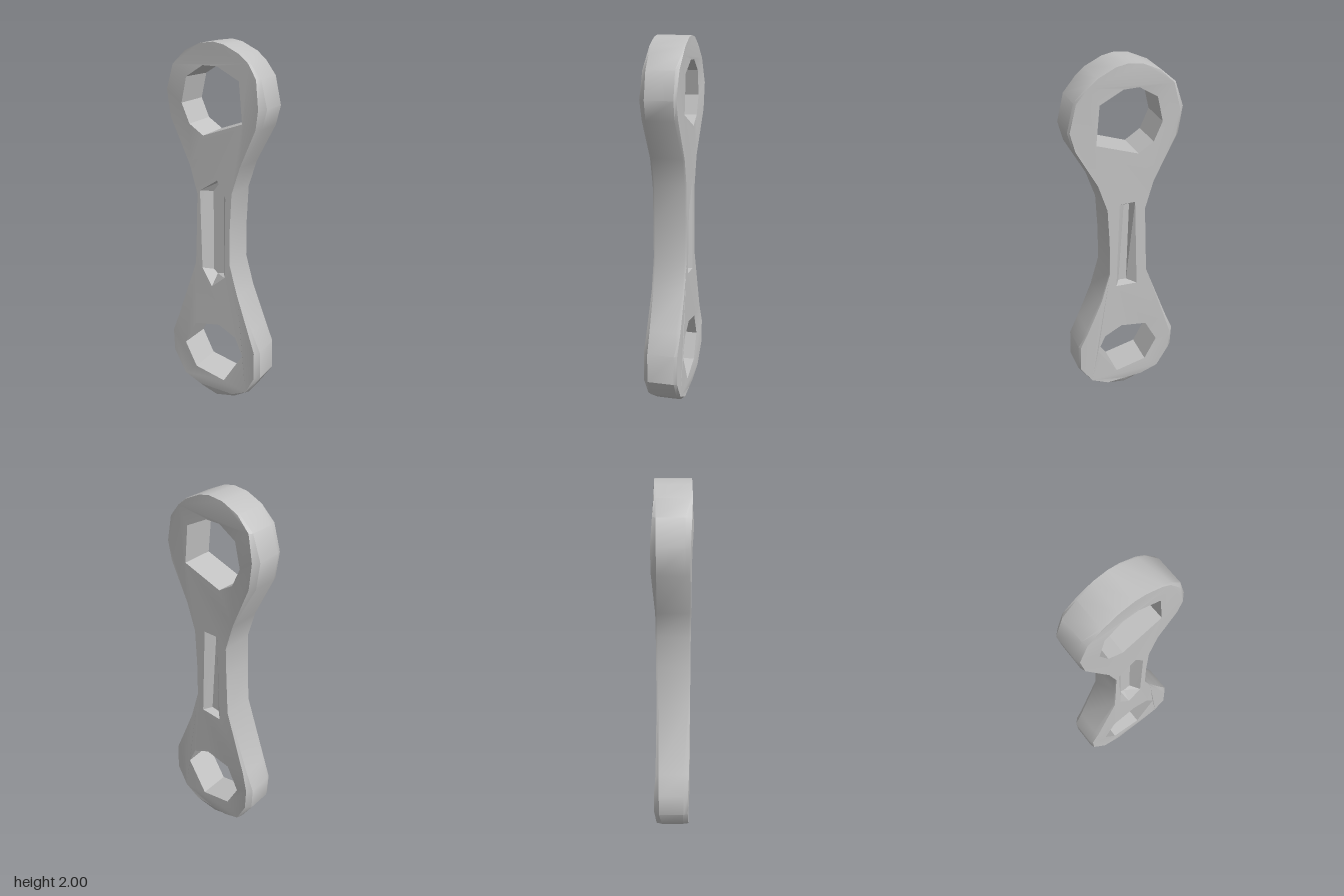
import * as THREE from 'three';
import { toCreasedNormals } from 'three/addons/utils/BufferGeometryUtils.js';

// Clockwise silhouettes, as x, y pairs
const pairs = (...n) => Array.from({ length: n.length / 2 }, (_, i) => [n[2 * i], n[2 * i + 1]]);
const OUTLINE = pairs(
  0.06, 1.99, 0.15, 1.95, 0.2, 1.91, 0.26, 1.84, 0.295, 1.7, 0.27, 1.6, 0.16, 1.4, 0.11, 1.25,
  0.1, 1.05, 0.1, 0.85, 0.15, 0.68, 0.235, 0.48, 0.285, 0.37, 0.29, 0.21, 0.22, 0.1, 0.12, 0.03,
  0, 0, -0.1, 0.03, -0.21, 0.09, -0.29, 0.22, -0.295, 0.35, -0.25, 0.46, -0.12, 0.82, -0.11, 1.05,
  -0.105, 1.22, -0.15, 1.37, -0.275, 1.61, -0.295, 1.75, -0.25, 1.88, -0.17, 1.95, -0.08, 1.99, 0, 2
).reverse();
const TOP_HOLE = pairs(-0.06, 1.88, 0.02, 1.88, 0.14, 1.82, 0.16, 1.62, -0.06, 1.54, -0.14, 1.59, -0.185, 1.69, -0.155, 1.82);
const LOW_HOLE = pairs(-0.12, 0.44, 0.03, 0.47, 0.13, 0.42, 0.175, 0.32, 0.06, 0.13, -0.12, 0.165, -0.19, 0.3);
const FRONT_SLOT = pairs(-0.085, 1.24, 0.02, 1.31, 0.07, 1.22, 0.065, 0.77, -0.015, 0.7, -0.075, 0.8);
const FRONT_FLOOR = pairs(-0.035, 1.23, 0.01, 1.29, 0.03, 1.24, 0.03, 0.77, -0.01, 0.76, -0.035, 0.78);
const BACK_SLOT = pairs(-0.045, 1.27, 0.04, 1.27, 0.06, 0.76, -0.06, 0.75);
const BACK_FLOOR = pairs(-0.03, 1.24, 0, 1.24, 0.03, 0.765, -0.015, 0.76);

const atZ = (loop, z) => loop.map(([x, y]) => [x, y, z]);
const scaled = (loop, cy, k, z) => loop.map(([x, y]) => [x * k, cy + (y - cy) * k, z]);

// Edge of a face: inset, with one cheek of each eye raised and the other lowered
function faceEdge(side) {
  return OUTLINE.map(([x, y]) => {
    const cy = y > 1 ? 1.69 : 0.28;
    const cheek = Math.abs(x) > 0.2 ? Math.max(0, 1 - Math.abs(y - cy) / 0.27) : 0;
    const raised = x * side > 0;
    const k = 0.97 - (raised ? 0.08 * cheek : 0);
    const z = 0.09 + (raised ? 0.022 : -0.013) * cheek;
    return [x * k, Math.max(y, 0.05), z * side];
  });
}

// Ring of quads between two matching loops, nearer the front first
function band(out, a, b) {
  a.forEach((p, i) => {
    const j = (i + 1) % a.length;
    out.push(...p, ...b[i], ...b[j], ...p, ...b[j], ...a[j]);
  });
}

// Face with openings, facing front (1) or back (-1)
function cap(out, outer, holes, side) {
  const v2 = loop => loop.map(p => new THREE.Vector2(p[0], p[1]));
  const all = [outer, ...holes].flat();
  for (const [a, b, c] of THREE.ShapeUtils.triangulateShape(v2(outer), holes.map(v2))) {
    const [p, q, r] = [all[a], all[b], all[c]];
    const area = (q[0] - p[0]) * (r[1] - p[1]) - (q[1] - p[1]) * (r[0] - p[0]);
    out.push(...p, ...(area * side > 0 ? [...q, ...r] : [...r, ...q]));
  }
}

export function createModel() {
  const group = new THREE.Group();
  group.name = 'link';
  const steel = new THREE.MeshStandardMaterial({ color: 0xc2c2c2 });
  steel.name = 'grey metal';

  function add(name, build, crease) {
    const out = [];
    build(out);
    const g = new THREE.BufferGeometry();
    g.setAttribute('position', new THREE.Float32BufferAttribute(out, 3));
    const mesh = new THREE.Mesh(toCreasedNormals(g, crease), steel);
    mesh.name = name;
    group.add(mesh);
  }

  const front = faceEdge(1), back = faceEdge(-1);
  const holes = [[TOP_HOLE, 1.7, 'upperEye'], [LOW_HOLE, 0.3, 'lowerEye']].map(([loop, cy, name]) => ({
    name, front: scaled(loop, cy, 1.03, 0.09), back: scaled(loop, cy, 1, -0.09),
  }));
  const slotF = atZ(FRONT_SLOT, 0.09), floorF = atZ(FRONT_FLOOR, 0.035);
  const slotB = atZ(BACK_SLOT, -0.09), floorB = atZ(BACK_FLOOR, -0.045);

  // Body: faces, worn edges and rim
  add('body', out => {
    cap(out, front, [...holes.map(h => h.front), slotF], 1);
    cap(out, back, [...holes.map(h => h.back), slotB], -1);
    const rimF = OUTLINE.map(([x, y]) => [x, y, x < -0.2 ? 0.055 : y < 0.1 ? 0.07 : 0.08]);
    const rimB = OUTLINE.map(([x, y]) => [x, y, x > 0.2 || y < 0.1 ? -0.065 : -0.08]);
    band(out, front, rimF);
    band(out, rimF, rimB);
    band(out, rimB, back);
  }, 0.55);

  // Inner walls of the two eyes
  for (const h of holes) add(h.name, out => band(out, h.front, h.back), 0.55);

  // Recessed grooves in the shank
  add('frontGroove', out => {
    band(out, slotF, floorF);
    cap(out, floorF, [], 1);
  }, 0.2);
  add('backGroove', out => {
    band(out, floorB, slotB);
    cap(out, floorB, [], -1);
  }, 0.2);

  return group;
}
